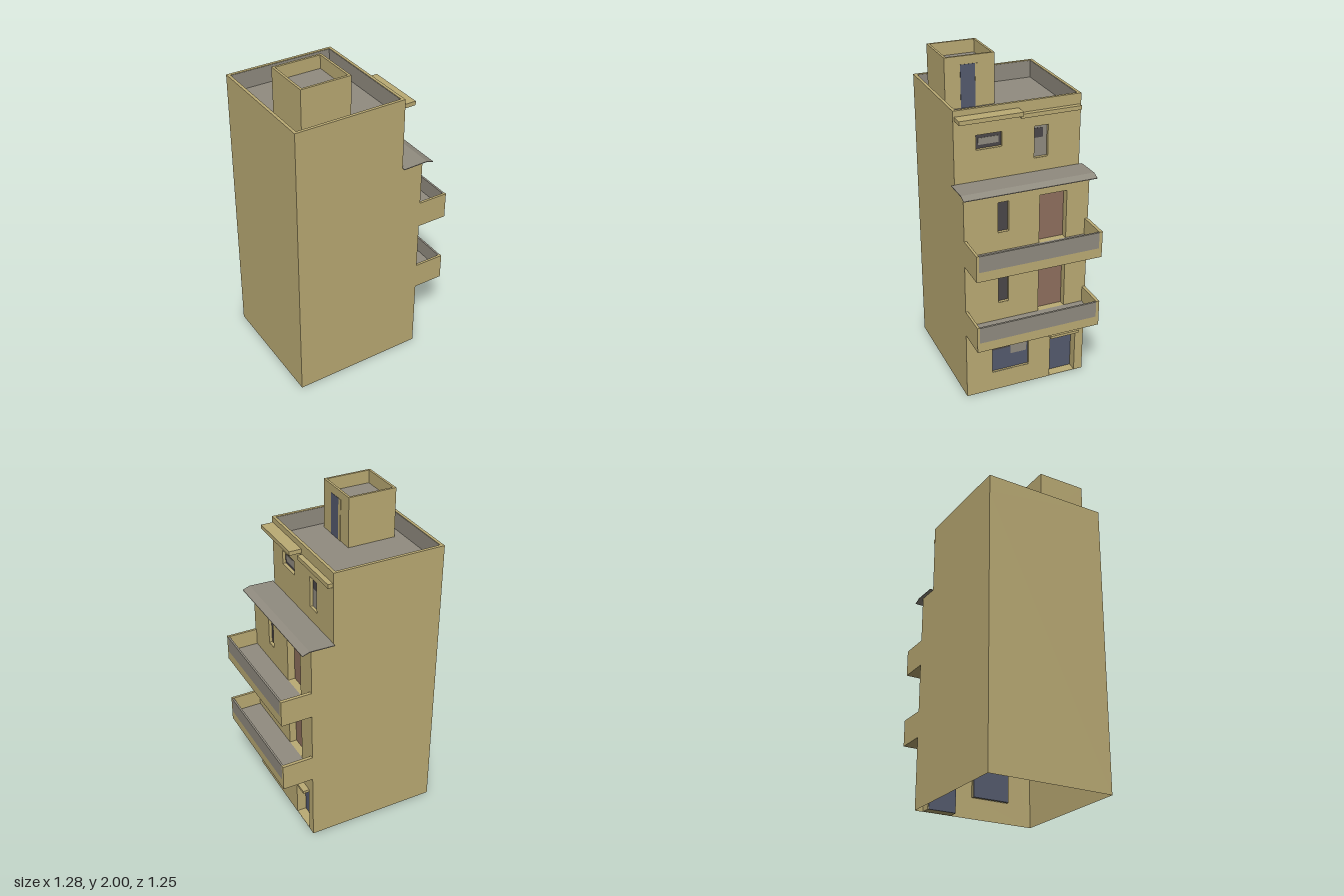
import * as THREE from 'three';

const material = (name, color) => {
  const m = new THREE.MeshStandardMaterial({ color, side: THREE.DoubleSide });
  m.name = name;
  return m;
};

export function createModel() {
  const khaki = material('khaki plaster', 0xbbab74);
  const grey = material('warm grey', 0x918c80);
  const navy = material('slate blue', 0x555b6e);
  const dark = material('dark glass', 0x4b474a);
  const brown = material('brown door', 0x8f6f5e);

  const W = 0.777, LOW = 0.828, UP = 0.69, STEP = 1.36, ROOF = 1.69, TOP = 1.8;

  // Local frame: street side faces +z, x runs along the street side
  const house = new THREE.Group();
  house.name = 'house';

  const add = (name, geo, mat, parent = house) => {
    const m = new THREE.Mesh(geo, mat);
    m.name = name;
    parent.add(m);
    return m;
  };
  const box = (name, mat, x0, x1, y0, y1, z0, z1) => {
    const g = new THREE.BoxGeometry(x1 - x0, y1 - y0, z1 - z0);
    g.translate((x0 + x1) / 2, (y0 + y1) / 2, (z0 + z1) / 2);
    return add(name, g, mat);
  };
  const outline = (pts, Type = THREE.Shape) => new Type(pts.map(p => new THREE.Vector2(...p)));
  const rect = (x0, x1, y0, y1, Type) => outline([[x0, y0], [x1, y0], [x1, y1], [x0, y1]], Type);

  // Four upright walls around a rectangle
  const walls = (name, mat, x0, x1, y0, y1, z0, z1, t) => {
    box(name + 'Back', mat, x0, x1, y0, y1, z0, z0 + t);
    box(name + 'Front', mat, x0, x1, y0, y1, z1 - t, z1);
    box(name + 'SideA', mat, x0, x0 + t, y0, y1, z0 + t, z1 - t);
    box(name + 'SideB', mat, x1 - t, x1, y0, y1, z0 + t, z1 - t);
  };

  // Flat wall with openings; each opening has a reveal and a recessed filling
  const facade = (name, x0, x1, y0, y1, z, openings) => {
    const s = rect(x0, x1, y0, y1);
    for (const o of openings) {
      const [a, b, c, d] = o.rect;
      s.holes.push(rect(a, b, c, d, THREE.Path));
      const e = 0.004;
      const ring = rect(a - e, b + e, c, d + e);
      ring.holes.push(rect(a, b, c + 0.001, d, THREE.Path));
      const g = new THREE.ExtrudeGeometry(ring, { depth: o.depth, bevelEnabled: false });
      add(o.name + 'Reveal', g, khaki).position.z = z - o.depth - 0.001;
      box(o.name, o.mat, a, b, c, d, z - o.depth - 0.006, z - o.depth);
      // panes given as fractions of the opening
      for (const [mat, fx0, fx1, fy0, fy1] of o.panes || []) {
        box(o.name + 'Pane', mat, a + fx0 * (b - a), a + fx1 * (b - a),
          c + fy0 * (d - c), c + fy1 * (d - c), z - o.depth, z - o.depth + 0.002);
      }
    }
    add(name, new THREE.ShapeGeometry(s), khaki).position.z = z;
  };

  // Lower street wall
  const openings = [
    { name: 'groundWindow', rect: [0.167, 0.405, 0.13, 0.33], depth: 0.015, mat: navy,
      panes: [[dark, 0, 0.5, 0.75, 1], [dark, 0.5, 1, 0.9, 1], [grey, 0.52, 0.96, 0.5, 0.9]] },
    { name: 'groundDoor', rect: [0.55, 0.722, 0.001, 0.3], depth: 0.06, mat: navy },
  ];
  for (const floor of [0.5, 0.965]) {
    openings.push(
      { name: 'balconyDoor', rect: [0.464, 0.636, floor, floor + 0.31], depth: 0.045, mat: brown },
      { name: 'balconyWindow', rect: [0.207, 0.273, floor + 0.12, floor + 0.31], depth: 0.02, mat: dark });
  }
  facade('lowerFrontWall', 0, W, 0, STEP, LOW, openings);

  // Set-back top storey
  facade('upperFrontWall', 0, W, STEP, ROOF, UP, [
    { name: 'wideWindow', rect: [0.132, 0.29, 1.55, 1.64], depth: 0.02, mat: dark,
      panes: [[grey, 0.12, 0.9, 0.25, 0.7]] },
    { name: 'tallWindow', rect: [0.488, 0.574, 1.445, 1.64], depth: 0.02, mat: grey,
      panes: [[dark, 0.1, 0.7, 0.6, 0.9]] },
  ]);

  // Side and back walls, open underneath
  const profile = [[0, 0], [-LOW, 0], [-LOW, STEP], [-UP, STEP], [-UP, ROOF], [0, ROOF]];
  for (const x of [0, W]) {
    const m = add('sideWall', new THREE.ShapeGeometry(outline(profile)), khaki);
    m.rotation.y = Math.PI / 2;
    m.position.x = x;
  }
  const back = add('backWall', new THREE.ShapeGeometry(rect(0, W, 0, ROOF)), khaki);
  back.position.z = 0;

  // Roof, parapet and its grey lining
  box('roof', grey, 0.001, W - 0.001, ROOF - 0.01, ROOF, 0.001, UP - 0.001);
  walls('parapet', khaki, 0, W, ROOF, TOP, 0, UP, 0.018);
  walls('parapetLining', grey, 0.018, W - 0.018, ROOF, TOP - 0.003, 0.018, UP - 0.018, 0.002);

  // Stair tower on the roof
  walls('tower', khaki, 0.065, 0.37, ROOF, 2, 0.077, 0.383, 0.014);
  box('towerRoof', grey, 0.078, 0.358, 1.91, 1.92, 0.09, 0.37);
  box('towerDoor', navy, 0.16, 0.25, ROOF, 1.95, 0.38, 0.385);
  box('towerDoorFrame', khaki, 0.25, 0.275, ROOF, 1.95, 0.38, 0.386);

  // Ledges on the parapet and over the entrance
  box('wideLedge', khaki, 0.008, 0.39, 1.74, 1.765, UP, UP + 0.075);
  box('narrowLedge', khaki, 0.395, 0.768, 1.71, 1.735, UP, UP + 0.03);
  box('doorCanopy', khaki, 0.537, 0.727, 0.302, 0.32, LOW, LOW + 0.04);

  // Thin bent awning over the step
  const awning = outline([[-UP, 1.362], [-0.845, 1.366], [-0.89, 1.35], [-0.89, 1.346],
    [-0.845, 1.361], [-UP, 1.358]]);
  const ag = new THREE.ExtrudeGeometry(awning, { depth: W + 0.04, bevelEnabled: false });
  const am = add('awning', ag, grey);
  am.rotation.y = Math.PI / 2;
  am.position.x = -0.02;

  // Balconies
  const OUT = 1.018;
  for (const y of [0.44, 0.905]) {
    const f = y + 0.06, t = y + 0.165;
    box('balconySlab', khaki, 0, W, y, f, LOW, OUT);
    box('balconyFloor', grey, 0.015, W - 0.02, f, f + 0.003, LOW, OUT - 0.012);
    box('balconyEnd', khaki, 0, 0.015, f, t, LOW, OUT);
    box('balconyEnd', khaki, W - 0.02, W, f, t, LOW, OUT);
    box('balconyFront', grey, 0.015, W - 0.02, f, t - 0.003, OUT - 0.012, OUT);
  }

  // Turn the house to its diagonal stance
  house.rotation.y = THREE.MathUtils.degToRad(130.7);
  house.position.set(-0.133, 0, 0.626);

  const model = new THREE.Group();
  model.name = 'townHouse';
  model.add(house);
  return model;
}
